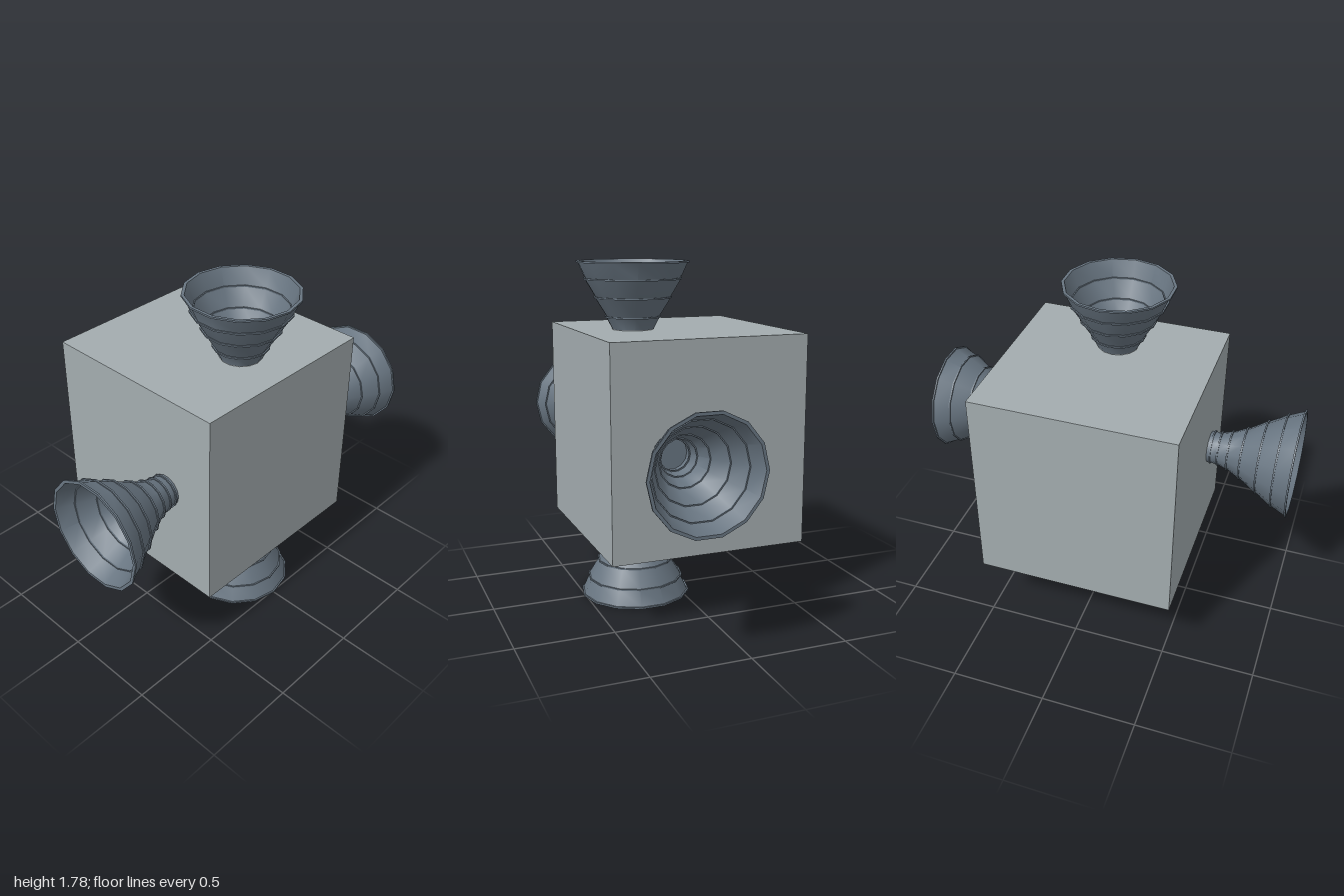
import * as THREE from 'three';
import { toCreasedNormals } from 'three/addons/utils/BufferGeometryUtils.js';

const SIDES = 14;
const CENTRE_Y = 0.89;
const NOZZLE_Z = 0.22;

// Bell wall stations: [distance from throat, radius]
const STATIONS = [
  [0.02, 0.085], [0.06, 0.089], [0.115, 0.104], [0.19, 0.139], [0.29, 0.197], [0.385, 0.249],
];

// Bell along +y: ribbed outer wall, flanged rim, ribbed inner wall, closed throat
function bellGeometry() {
  const h = 0.004, wall = 0.01;
  const p = [[0.085, 0]];
  for (const [y, r] of STATIONS) p.push([r, y - h], [r + 0.007, y - h], [r + 0.007, y + h], [r, y + h]);
  p.push([0.284, 0.466], [0.292, 0.466], [0.292, 0.475], [0.276, 0.475]);
  for (const [y, r] of STATIONS.slice(1).reverse()) {
    const q = r - wall;
    p.push([q + 0.002, y + h], [q - 0.004, y + h], [q - 0.004, y - h], [q, y - h]);
  }
  p.push([0.08, 0.02], [0, 0.02]);
  const lathe = new THREE.LatheGeometry(p.map(([r, y]) => new THREE.Vector2(r, y)), SIDES);
  return toCreasedNormals(lathe, 0.5);
}

export function createModel() {
  const model = new THREE.Group();
  model.name = 'thrusterBlock';
  const housing = new THREE.MeshStandardMaterial({ color: 0xa3acaf });
  housing.name = 'pale grey housing';
  const metal = new THREE.MeshStandardMaterial({ color: 0x687581 });
  metal.name = 'slate metal';
  const pale = new THREE.MeshStandardMaterial({ color: 0xe0e4e6 });
  pale.name = 'pale throat';

  // Central block
  const block = new THREE.Mesh(new THREE.BoxGeometry(1.054, 1.08, 1.03), housing);
  block.name = 'block';
  block.position.y = CENTRE_Y;
  model.add(block);

  // Four nozzles around the z axis; the upper and lower ones sit deeper in the block
  const bell = bellGeometry();
  const disc = new THREE.CylinderGeometry(0.108, 0.108, 0.006, SIDES);
  const mounts = [
    ['topNozzle', 0, 0.415], ['leftNozzle', -Math.PI / 2, 0.525],
    ['bottomNozzle', Math.PI, 0.415], ['rightNozzle', Math.PI / 2, 0.525],
  ];
  for (const [name, angle, offset] of mounts) {
    const nozzle = new THREE.Group();
    nozzle.name = name;
    nozzle.position.set(0, CENTRE_Y, NOZZLE_Z);
    nozzle.rotation.z = angle;
    const shell = new THREE.Mesh(bell, metal);
    shell.name = 'bell';
    shell.position.y = offset;
    nozzle.add(shell);
    // Throat plate lying on the block inside the sunken bells
    if (offset < 0.5) {
      const plate = new THREE.Mesh(disc, pale);
      plate.name = 'throatPlate';
      plate.position.y = 0.541;
      nozzle.add(plate);
    }
    model.add(nozzle);
  }
  return model;
}
